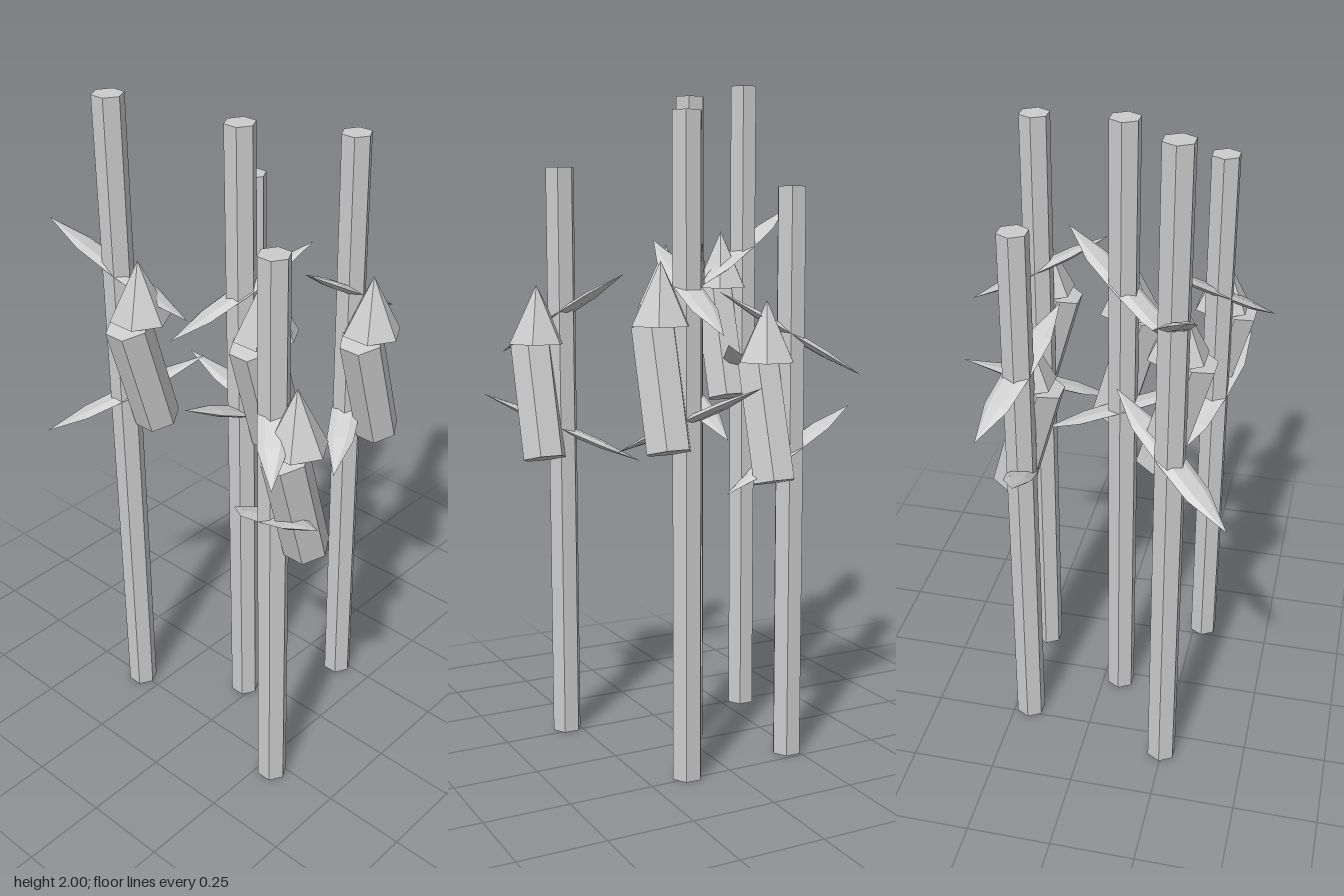
import * as THREE from 'three';

const SIDES = 6;
const TILT = 0.275; // forward lean of the seed heads

// Each reed: position, height, and the compass direction [dx, dz] of the raised end of both leaves
const REEDS = [
  { x: -0.32, z: 0.248, h: 2.0, upper: [-142, 50], lower: [110, -132] },
  { x: -0.224, z: -0.2, h: 1.68, upper: [142, 52], lower: [-169, 30] },
  { x: -0.03, z: 0.056, h: 1.94, upper: [75, -130], lower: [0, 1] },
  { x: 0.13, z: -0.233, h: 1.875, upper: [0, 1], lower: [-86, -148] },
  { x: 0.29, z: 0.281, h: 1.74, upper: [-96, -115], lower: [160, 58] },
];

// Six-sided prism or cone with corners on the x axis
function hexGeometry(rTop, rBottom, height) {
  return new THREE.CylinderGeometry(rTop, rBottom, height, SIDES).rotateY(Math.PI / 6);
}

// Flat spindle pointing along +x, with its +x end raised by the slope angle
function leafGeometry(length, slope) {
  const profile = [[0, -1], [0.91, -0.5], [1, 0], [0.91, 0.5], [0, 1]]
    .map(([r, y]) => new THREE.Vector2(r, y));
  return new THREE.LatheGeometry(profile, SIDES)
    .scale(0.013, length / 2, 0.044)
    .rotateZ(slope - Math.PI / 2);
}

export function createModel() {
  const grey = new THREE.MeshStandardMaterial({ color: 0xcccccc });
  grey.name = 'reedGrey';
  grey.flatShading = true;

  const headGeo = hexGeometry(0.067, 0.067, 0.35).rotateX(TILT);
  const tipGeo = hexGeometry(0, 0.088, 0.175);
  const upperGeo = leafGeometry(0.483, 0.53);
  const lowerGeo = leafGeometry(0.522, 0.43);

  const model = new THREE.Group();
  model.name = 'reedCluster';

  REEDS.forEach(({ x, z, h, upper, lower }) => {
    const reed = new THREE.Group();
    reed.name = 'reed';
    reed.position.set(x, 0, z);
    model.add(reed);

    const add = (name, geometry, px, py, heading) => {
      const mesh = new THREE.Mesh(geometry, grey);
      mesh.name = name;
      mesh.position.set(px, py, 0);
      if (heading) mesh.rotation.y = Math.atan2(-heading[1], heading[0]);
      reed.add(mesh);
    };

    add('stem', hexGeometry(0.045, 0.045, h), 0, h / 2);
    // Leaning seed head beside the stem with an upright pointed cap
    add('seedHead', headGeo, 0.08, h * 0.6);
    add('seedTip', tipGeo, 0.08, h * 0.6 + 0.263);
    // Leaves pierced by the stem
    add('upperLeaf', upperGeo, 0, h * 0.75, upper);
    add('lowerLeaf', lowerGeo, 0, h * 0.55, lower);
  });

  return model;
}
